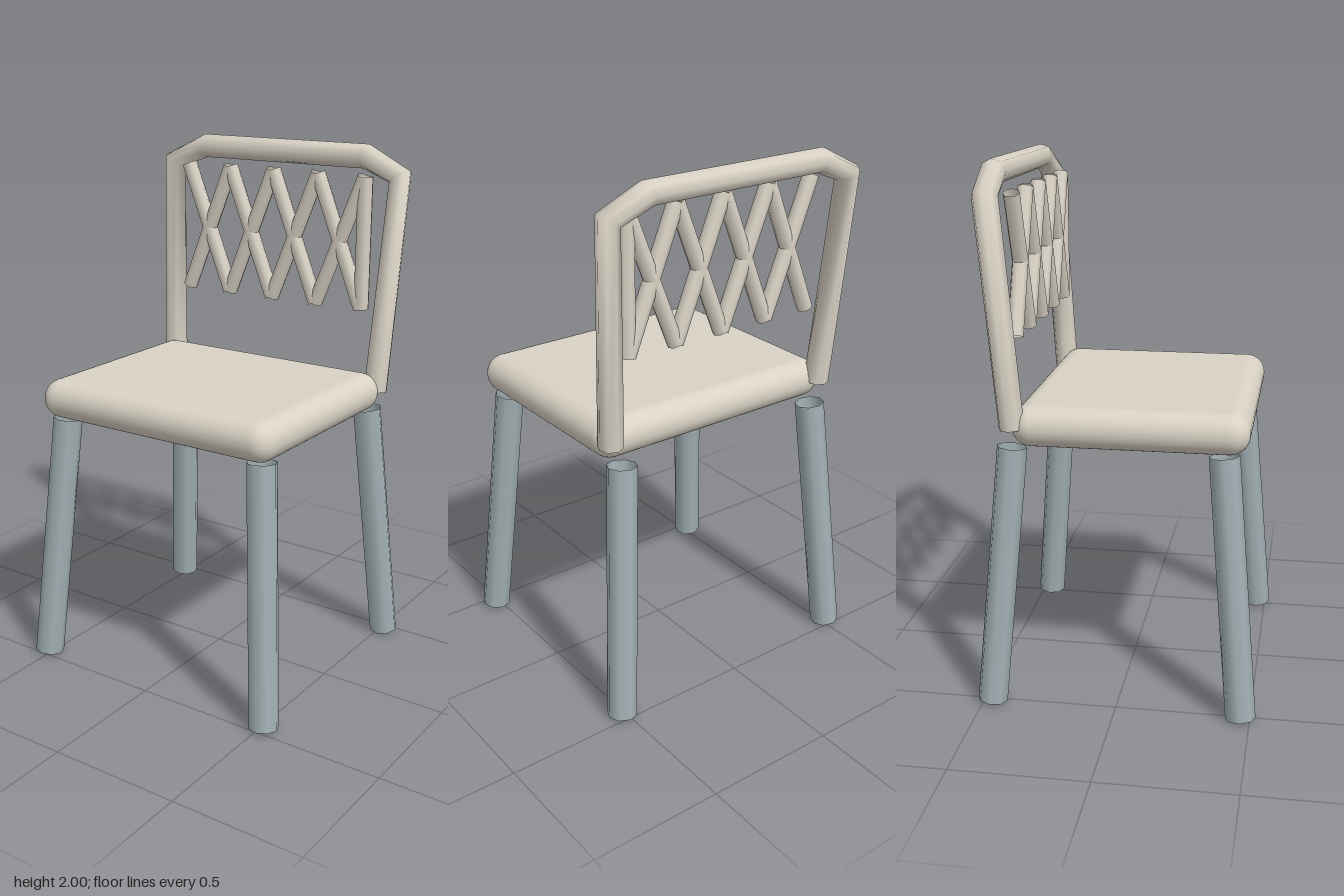
import * as THREE from 'three';
import { RoundedBoxGeometry } from 'three/addons/geometries/RoundedBoxGeometry.js';

const cream = new THREE.MeshStandardMaterial({ color: 0xd9d2c5, side: THREE.DoubleSide });
const steel = new THREE.MeshStandardMaterial({ color: 0xa2b0b4, side: THREE.DoubleSide });

// Straight-sided path whose rings sit exactly on the given points.
class Polyline extends THREE.Curve {
  constructor(points) {
    super();
    this.points = points.map((p) => new THREE.Vector3(...p));
  }
  getPointAt(u, target = new THREE.Vector3()) {
    return target.copy(this.points[Math.round(u * (this.points.length - 1))]);
  }
  getTangentAt(u, target = new THREE.Vector3()) {
    const p = this.points, last = p.length - 1, i = Math.round(u * last);
    target.set(0, 0, 0);
    if (i > 0) target.add(p[i].clone().sub(p[i - 1]).normalize());
    if (i < last) target.add(p[i + 1].clone().sub(p[i]).normalize());
    return target.normalize();
  }
}

// Open-ended bar through the points.
function bar(name, points, radius, material) {
  const geometry = new THREE.TubeGeometry(new Polyline(points), points.length - 1, radius, 8);
  const mesh = new THREE.Mesh(geometry, material);
  mesh.name = name;
  return mesh;
}

export function createModel() {
  const chair = new THREE.Group();
  chair.name = 'chair';

  // Cushioned seat
  const seat = new THREE.Mesh(new RoundedBoxGeometry(1.035, 0.15, 0.855, 5, 0.074), cream);
  seat.name = 'seat';
  seat.position.set(0, 1.073, 0.046);
  chair.add(seat);

  // Four splayed legs
  for (const [side, sx] of [['Left', 1], ['Right', -1]]) {
    for (const [end, sz] of [['front', 1], ['back', -1]]) {
      chair.add(bar(`${end}${side}Leg`,
        [[sx * 0.515, 0.01, sz * 0.466], [sx * 0.443, 0.99, sz * 0.383]], 0.056, steel));
    }
  }

  // Bent frame of the backrest
  const half = [[-0.482, 1.07, -0.373], [-0.52, 1.89, -0.433], [-0.37, 1.957, -0.442]];
  const mirrored = half.map(([x, y, z]) => [-x, y, z]).reverse();
  chair.add(bar('backFrame', [...half, ...mirrored], 0.047, cream));

  // Crossed lattice rods, closed by one upright at the left end
  const lattice = new THREE.Group();
  lattice.name = 'backLattice';
  const top = 1.89, bottom = 1.385, z = -0.371;
  const rod = (x0, x1) => lattice.add(
    bar('latticeRod', [[x0, bottom, z], [x1, top, z]], 0.03, cream));
  for (let i = 0; i < 4; i++) {
    const x = -0.402 + i * 0.202;
    rod(x, x + 0.202);
    rod(x + 0.202, x);
  }
  rod(0.408, 0.408);
  chair.add(lattice);

  return chair;
}
